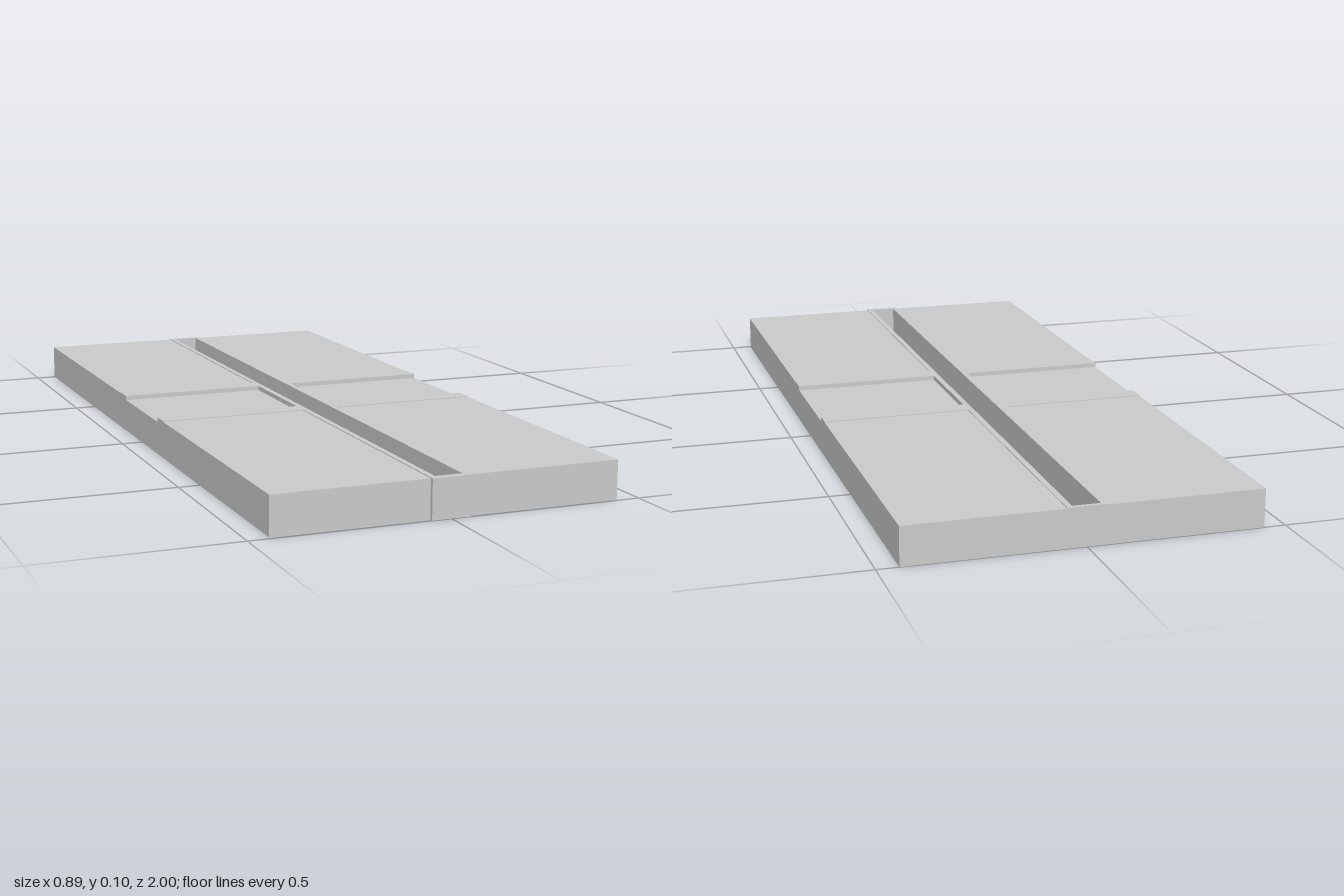
import * as THREE from 'three';

const W = 0.445;      // half width of the slab
const T = 0.05;       // half width of the trough
const H = 0.1;        // overall height
const DECK = 0.098;   // deck panel height
const SUNK = 0.088;   // recessed panel height

const mat = new THREE.MeshStandardMaterial({ color: 0xcccccc, flatShading: true, side: THREE.DoubleSide });

function add(group, name, geometry) {
  const mesh = new THREE.Mesh(geometry, mat);
  mesh.name = name;
  group.add(mesh);
  return mesh;
}

// Thin folded sheet: a [z, y] profile swept across x
function sheet(profile, x0, x1) {
  const g = new THREE.PlaneGeometry(1, 1, 1, profile.length - 1);
  const p = g.attributes.position;
  profile.forEach(([z, y], i) => {
    p.setXYZ(i * 2, x0, y, z);
    p.setXYZ(i * 2 + 1, x1, y, z);
  });
  g.computeVertexNormals();
  return g;
}

function rectangle(target, x0, y0, x1, y1) {
  target.moveTo(x0, y0).lineTo(x1, y0).lineTo(x1, y1).lineTo(x0, y1).closePath();
  return target;
}

export function createModel() {
  const model = new THREE.Group();
  model.name = 'troughSlab';

  // Central trough: rim walls with a long pocket, and a floor
  const rim = rectangle(new THREE.Shape(), -T, -1, T, 1);
  rim.holes.push(rectangle(new THREE.Path(), -0.035, -0.98, 0.035, 0.99));
  const walls = new THREE.ExtrudeGeometry(rim, { depth: H, bevelEnabled: false });
  walls.rotateX(-Math.PI / 2);
  add(model, 'troughWalls', walls);
  add(model, 'troughFloor', new THREE.BoxGeometry(0.07, 0.012, 1.97)).position.set(0, 0.006, -0.005);

  // Hollow decks on both sides, open underneath
  const parts = {
    backDeck: [[-1, 0], [-1, DECK], [-0.2, DECK]],
    backCrossBeam: [[-0.2, 0], [-0.2, H], [-0.15, H], [-0.15, 0]],
    recessedPanel: [[-0.15, SUNK], [0.15, SUNK]],
    frontCrossBeam: [[0.15, 0], [0.15, H], [0.2, H], [0.2, 0]],
    frontDeck: [[0.2, DECK], [0.99, DECK], [0.99, 0]],
  };
  // Outline of the outer side wall
  const outline = new THREE.Shape([
    [-1, 0], [0.99, 0], [0.99, DECK], [0.2, DECK], [0.2, H], [0.15, H], [0.15, SUNK],
    [-0.15, SUNK], [-0.15, H], [-0.2, H], [-0.2, DECK], [-1, DECK],
  ].map(([z, y]) => new THREE.Vector2(z, y)));

  for (const s of [1, -1]) {
    const side = new THREE.Group();
    side.name = s > 0 ? 'leftSide' : 'rightSide';
    for (const [name, profile] of Object.entries(parts)) {
      // keep the winding outward on both sides
      add(side, name, s > 0 ? sheet(profile, T, W) : sheet(profile, -W, -T));
    }
    const wall = new THREE.ShapeGeometry(outline);
    wall.rotateY(-Math.PI / 2);
    add(side, 'sideWall', wall).position.x = s * W;
    model.add(side);
  }
  return model;
}
